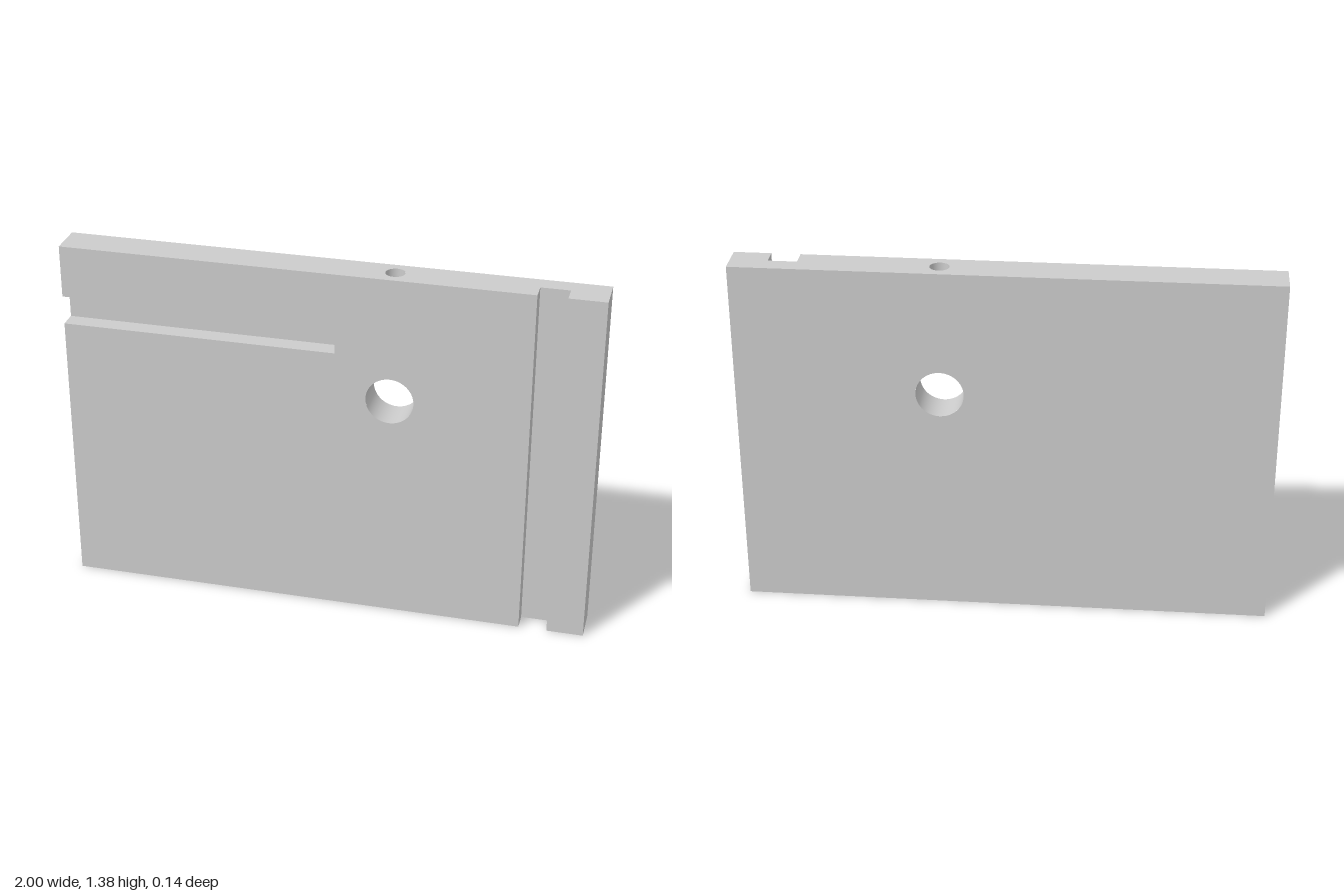
import * as THREE from 'three';

const H = 1.38, D = 0.068;                        // panel height, half thickness
const G0 = 0.755, G1 = 0.862;                     // vertical groove, x range
const S0 = 1.07, S1 = 1.18, SX = 0.035;           // side slot, y range and inner end
const BX = 0.24, BY = 0.9, BR = 0.089;            // through bore
const DR = 0.036;                                 // drilling from the top edge into the bore
const PIN_R = 0.025, PIN_DEPTH = 0.25;            // blind pin holes in the bottom edge
const PINS = [-0.93, -0.31, 0.31, 0.93];

// Turn a surface inside out, for the walls of holes
function inward(geo) {
  const idx = geo.index.array;
  for (let i = 0; i < idx.length; i += 3) [idx[i], idx[i + 1]] = [idx[i + 1], idx[i]];
  const n = geo.attributes.normal;
  for (let i = 0; i < n.count; i++) n.setXYZ(i, -n.getX(i), -n.getY(i), -n.getZ(i));
  return geo;
}

// Flat face from an outline and round holes [x, y, r]
function face(points, holes = []) {
  const shape = new THREE.Shape(points.map(p => new THREE.Vector2(...p)));
  for (const [x, y, r] of holes) {
    shape.holes.push(new THREE.Path().absarc(x, y, r, 0, Math.PI * 2, true));
  }
  return new THREE.ShapeGeometry(shape, 48);
}

const rect = (x0, y0, x1, y1) => [[x0, y0], [x1, y0], [x1, y1], [x0, y1]];

export function createModel() {
  const group = new THREE.Group();
  const material = new THREE.MeshStandardMaterial({ color: 0xcccccc });
  const add = (name, geo) => {
    const mesh = new THREE.Mesh(geo, material);
    mesh.name = name;
    group.add(mesh);
  };
  const Q = Math.PI / 2;

  // Broad faces
  add('frontFace', face([[-1, 0], [G0, 0], [G0, H], [-1, H], [-1, S1], [SX, S1], [SX, S0], [-1, S0]],
    [[BX, BY, BR]]).translate(0, 0, D));
  add('frontStrip', face(rect(G1, 0, 1, H)).translate(0, 0, D));
  add('backFace', face(rect(-1, 0, 1, H), [[-BX, BY, BR]]).rotateY(Math.PI).translate(0, 0, -D));

  // Narrow edges, notched by the groove and the slot
  const edge = [[-1, -D], [1, -D], [1, D], [G1, D], [G1, 0], [G0, 0], [G0, D], [-1, D]];
  add('topEdge', face(edge.map(([x, z]) => [x, -z]), [[BX, 0, DR]]).rotateX(-Q).translate(0, H, 0));
  add('bottomEdge', face(edge, PINS.map(x => [x, 0, PIN_R])).rotateX(Q));
  add('leftEdge', face(rect(-D, 0, D, H)).rotateY(Q).translate(1, 0, 0));
  add('rightEdge', face([[-D, 0], [D, 0], [D, S0], [0, S0], [0, S1], [D, S1], [D, H], [-D, H]])
    .rotateY(-Q).translate(-1, 0, 0));

  // Vertical groove
  add('grooveFloor', face(rect(G0, 0, G1, H)));
  add('grooveWall', face(rect(-D, 0, 0, H)).rotateY(Q).translate(G0, 0, 0));
  add('grooveWall', face(rect(0, 0, D, H)).rotateY(-Q).translate(G1, 0, 0));

  // Horizontal slot
  add('slotFloor', face(rect(-1, S0, SX, S1)));
  add('slotEnd', face(rect(0, S0, D, S1)).rotateY(-Q).translate(SX, 0, 0));
  add('slotLowerWall', face(rect(-1, -D, SX, 0)).rotateX(-Q).translate(0, S0, 0));
  add('slotUpperWall', face(rect(-1, 0, SX, D)).rotateX(Q).translate(0, S1, 0));

  // Bore wall, left open at the top for the patch around the drilling
  const gap = Math.asin(D / BR);
  add('boreWall', inward(new THREE.CylinderGeometry(BR, BR, 2 * D, 48, 1, true,
    Math.PI + gap, 2 * (Math.PI - gap))).rotateX(Q).translate(BX, BY, 0));

  // Patch: rings from the round opening out to a square, laid on the bore wall
  const boreTop = x => BY + Math.sqrt(BR * BR - x * x);
  const patch = new THREE.PlaneGeometry(1, 1, 48, 5);
  const p = patch.attributes.position, n = patch.attributes.normal;
  for (let i = 0; i < p.count; i++) {
    const a = (p.getX(i) + 0.5) * Math.PI * 2, t = p.getY(i) + 0.5;
    const c = Math.cos(a), s = Math.sin(a);
    const r = THREE.MathUtils.lerp(DR, D / Math.max(Math.abs(c), Math.abs(s)), t);
    const x = r * c, y = boreTop(x);
    p.setXYZ(i, BX + x, y, r * s);
    n.setXYZ(i, x / BR, (y - BY) / BR, 0);
  }
  // Rings wind upward or downward; make the winding agree with the downward normals
  const [i0, i1, i2] = patch.index.array;
  const v = i => new THREE.Vector3().fromBufferAttribute(p, i);
  const up = v(i1).sub(v(i0)).cross(v(i2).sub(v(i0))).y > 0;
  inward(patch);
  if (!up) {
    const idx = patch.index.array;
    for (let i = 0; i < idx.length; i += 3) [idx[i], idx[i + 1]] = [idx[i + 1], idx[i]];
  }
  add('borePatch', patch);

  // Drilling from the top edge, its lower rim following the bore
  const drill = new THREE.CylinderGeometry(DR, DR, 1, 48, 1, true);
  const d = drill.attributes.position;
  for (let i = 0; i < d.count; i++) d.setY(i, d.getY(i) > 0 ? H : boreTop(d.getX(i)));
  add('topDrilling', inward(drill).translate(BX, 0, 0));

  // Blind pin holes
  for (const x of PINS) {
    add('pinHoleWall', inward(new THREE.CylinderGeometry(PIN_R, PIN_R, PIN_DEPTH, 48, 1, true))
      .translate(x, PIN_DEPTH / 2, 0));
    add('pinHoleEnd', new THREE.CircleGeometry(PIN_R, 48).rotateX(Q).translate(x, PIN_DEPTH, 0));
  }
  return group;
}
